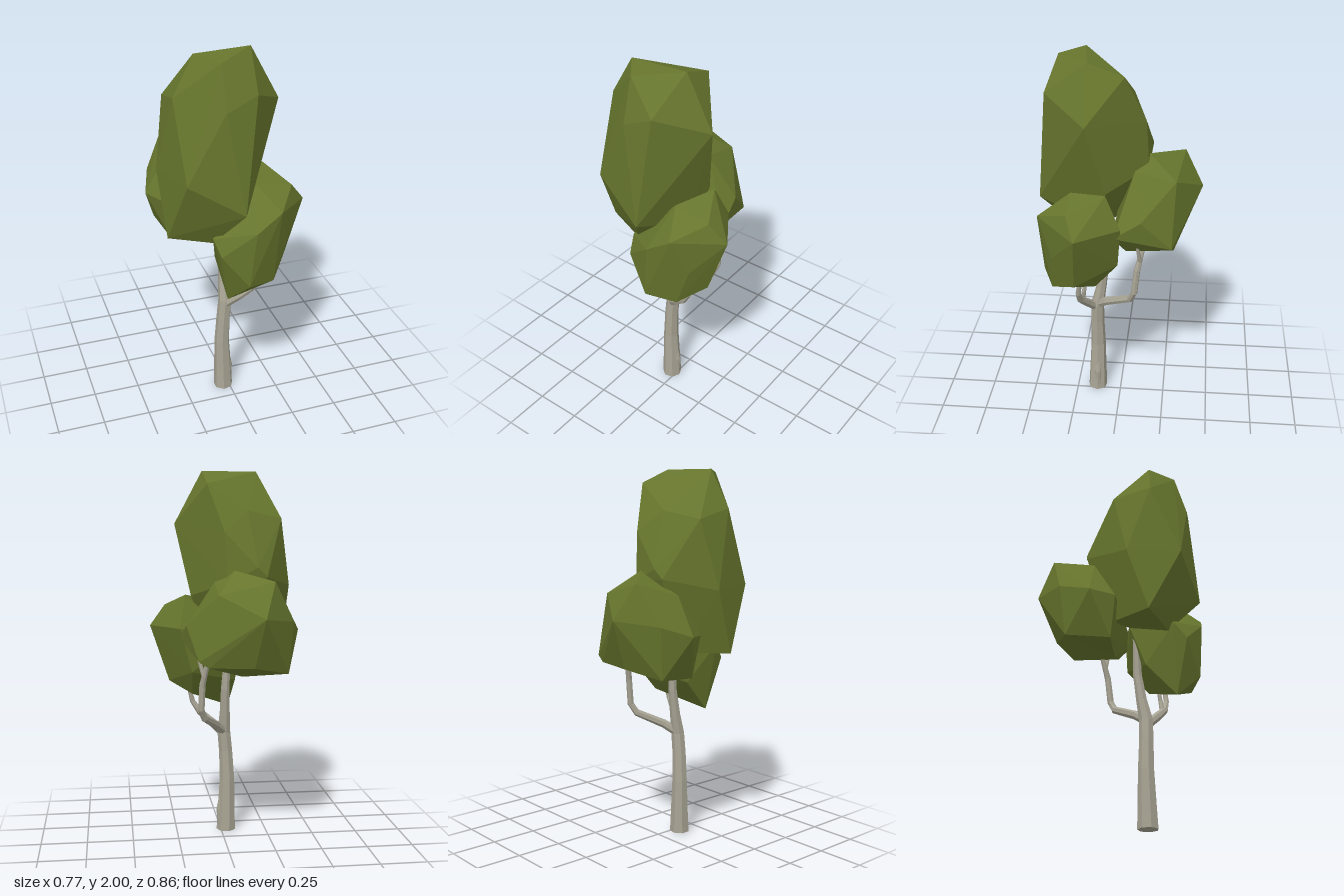
import * as THREE from 'three';
import { ConvexGeometry } from 'three/addons/geometries/ConvexGeometry.js';

const SIDES = 7;

// Faceted limb: stations are [x, y, z, radius]
function limbGeometry(stations) {
  const centres = stations.map(([x, y, z]) => new THREE.Vector3(x, y, z));
  const last = centres.length - 1;
  const positions = [];
  const index = [];
  centres.forEach((c, i) => {
    const t = centres[Math.min(i + 1, last)].clone().sub(centres[Math.max(i - 1, 0)]).normalize();
    if (i === 0 && c.y === 0) t.set(0, 1, 0); // flat foot on the ground
    const u = new THREE.Vector3().crossVectors(t, new THREE.Vector3(0, 0, 1)).normalize();
    const w = new THREE.Vector3().crossVectors(t, u);
    for (let j = 0; j < SIDES; j++) {
      const a = (j / SIDES) * Math.PI * 2;
      const p = c.clone()
        .addScaledVector(u, Math.cos(a) * stations[i][3])
        .addScaledVector(w, Math.sin(a) * stations[i][3]);
      positions.push(p.x, p.y, p.z);
    }
  });
  for (let i = 0; i < last; i++) {
    for (let j = 0; j < SIDES; j++) {
      const a = i * SIDES + j;
      const b = i * SIDES + ((j + 1) % SIDES);
      index.push(a, b, a + SIDES, b, b + SIDES, a + SIDES);
    }
  }
  // End caps
  const top = last * SIDES;
  for (let j = 1; j < SIDES - 1; j++) {
    index.push(0, j + 1, j, top, top + j, top + j + 1);
  }
  const g = new THREE.BufferGeometry();
  g.setAttribute('position', new THREE.Float32BufferAttribute(positions, 3));
  g.setIndex(index);
  g.computeVertexNormals();
  return g;
}

const LIMBS = {
  trunk: [
    [-0.03, 0, 0.135, 0.054], [-0.032, 0.12, 0.133, 0.049], [-0.036, 0.3, 0.13, 0.042],
    [-0.028, 0.46, 0.132, 0.038], [-0.018, 0.57, 0.13, 0.037], [-0.02, 0.68, 0.108, 0.029],
    [-0.02, 0.82, 0.088, 0.024], [-0.04, 1.15, 0.08, 0.015],
  ],
  frontBranch: [
    [-0.02, 0.55, 0.14, 0.024], [0.04, 0.61, 0.18, 0.024], [0.11, 0.67, 0.21, 0.019],
    [0.15, 0.73, 0.215, 0.015], [0.18, 0.85, 0.2, 0.01],
  ],
  frontTwig: [[0.09, 0.655, 0.2, 0.014], [0.105, 0.72, 0.19, 0.012], [0.1, 0.85, 0.17, 0.008]],
  backBranch: [
    [-0.02, 0.57, 0.13, 0.026], [0.03, 0.62, 0.07, 0.024], [0.11, 0.69, -0.06, 0.02],
    [0.13, 0.74, -0.085, 0.018], [0.125, 0.88, -0.1, 0.017], [0.09, 1.05, -0.14, 0.011],
  ],
  backTwig: [[0.125, 0.86, -0.1, 0.014], [0.12, 0.93, -0.115, 0.012], [0.15, 1.04, -0.1, 0.009]],
  barkSpur: [[0.0, 0.03, 0.13, 0.02], [0.005, 0.12, 0.13, 0.02], [-0.01, 0.24, 0.13, 0.01]],
};

// Corner points of each faceted leaf clump
const CLUMPS = {
  tallCrown: [
    [0.1, 2, 0.155], [-0.2, 2, 0.19], [-0.1, 1.985, 0.32], [-0.1, 1.76, 0.385], [0.06, 1.83, 0.375],
    [0.25, 1.72, 0.155], [-0.01, 1.23, 0.43], [-0.31, 1.8, 0.21], [-0.29, 1.4, 0.365],
    [-0.37, 1.39, 0.09], [-0.31, 1.75, 0.01], [0.09, 1.93, -0.03], [-0.12, 1.79, -0.065],
    [0.01, 1.68, -0.135], [-0.16, 1.5, -0.165], [-0.21, 1.45, -0.155], [0.0, 1.42, -0.15],
    [0.17, 1.34, 0.06], [-0.35, 1.05, 0.2], [-0.13, 1.02, 0.27], [0.08, 1.12, 0.12],
    [-0.2, 1.06, -0.02],
  ],
  frontClump: [
    [0.185, 1.21, 0.415], [0.05, 1.12, 0.43], [-0.14, 1.06, 0.3], [-0.115, 0.98, 0.365],
    [-0.06, 0.685, 0.3], [0.02, 0.81, 0.415], [0.385, 1.165, 0.205], [0.3, 1.275, 0.25],
    [0.2, 1.345, 0.06], [0.1, 1.31, 0.25], [0.235, 1.17, -0.02], [0.28, 0.85, 0.22],
    [0.175, 0.785, 0.35], [0.16, 0.79, 0.12], [0.17, 0.93, 0.0], [-0.05, 1.1, 0.05],
    [-0.08, 0.86, 0.14], [0.245, 1.0, 0.335],
  ],
  backClump: [
    [-0.16, 1.26, -0.433], [-0.22, 1.44, -0.335], [0.06, 1.37, -0.295], [0.06, 1.42, -0.08],
    [-0.04, 1.485, -0.15], [-0.27, 1.37, -0.1], [-0.33, 1.23, -0.27], [-0.385, 1.17, -0.1],
    [-0.31, 1.16, 0.02], [0.0, 1.23, -0.33], [0.16, 1.03, -0.28], [0.21, 1.2, -0.12],
    [0.235, 1.12, 0.02], [-0.28, 0.935, -0.01], [-0.1, 0.905, -0.02], [-0.12, 1.0, -0.33],
    [0.11, 1.0, -0.29], [0.12, 0.99, -0.04], [-0.31, 0.955, -0.24],
  ],
};

export function createModel() {
  const bark = new THREE.MeshStandardMaterial({ color: 0xa8a494, flatShading: true });
  bark.name = 'bark';
  const leaves = new THREE.MeshStandardMaterial({ color: 0x66752d, flatShading: true });
  leaves.name = 'leaves';

  const tree = new THREE.Group();
  tree.name = 'tree';
  const add = (name, geometry, material) => {
    const mesh = new THREE.Mesh(geometry, material);
    mesh.name = name;
    tree.add(mesh);
  };
  // Trunk, branches and twigs
  for (const [name, stations] of Object.entries(LIMBS)) add(name, limbGeometry(stations), bark);
  // Leaf clumps
  for (const [name, points] of Object.entries(CLUMPS)) {
    add(name, new ConvexGeometry(points.map((p) => new THREE.Vector3(...p))), leaves);
  }
  return tree;
}
